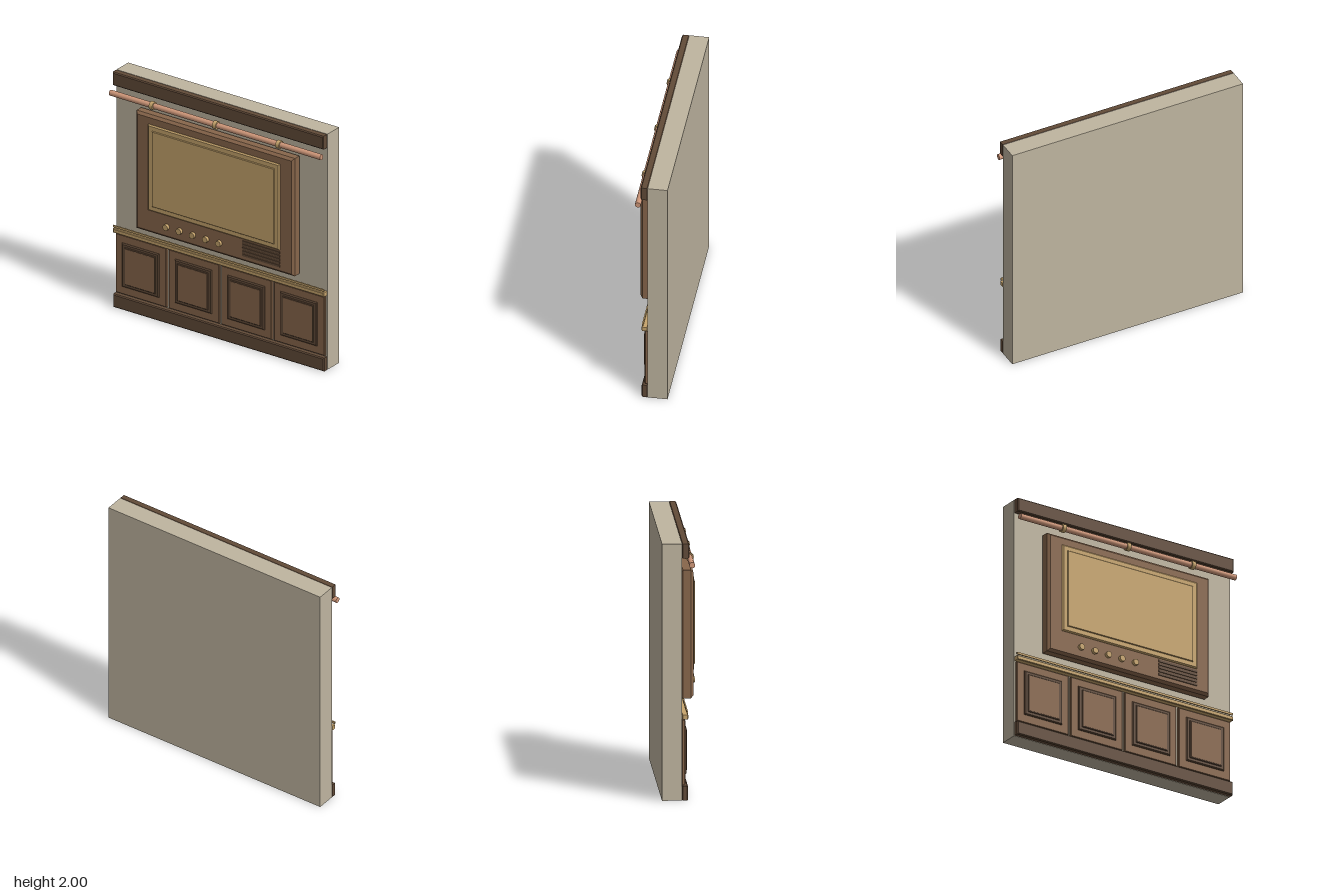
import * as THREE from 'three';

const mat = (name, color) => {
  const m = new THREE.MeshStandardMaterial({ color });
  m.name = name;
  return m;
};

export function createModel() {
  const group = new THREE.Group();
  const plaster = mat('plaster', 0xbfb5a0);
  const darkWood = mat('dark wood', 0x624b38);
  const wood = mat('wood', 0x88664b);
  const brass = mat('brass', 0xc7a56d);
  const copper = mat('copper', 0xd0987a);

  const add = (name, geometry, material) => {
    const mesh = new THREE.Mesh(geometry, material);
    mesh.name = name;
    group.add(mesh);
    return mesh;
  };

  // Box given by its limits, with all edges chamfered by b
  const block = (name, x0, x1, y0, y1, z0, z1, b, material) => {
    let geo;
    if (b > 0) {
      const s = new THREE.Shape();
      s.moveTo(x0 + b, y0 + b);
      s.lineTo(x1 - b, y0 + b);
      s.lineTo(x1 - b, y1 - b);
      s.lineTo(x0 + b, y1 - b);
      s.closePath();
      geo = new THREE.ExtrudeGeometry(s, {
        depth: z1 - z0 - 2 * b, bevelEnabled: true,
        bevelThickness: b, bevelSize: b, bevelSegments: 1,
      });
      geo.translate(0, 0, z0 + b);
    } else {
      geo = new THREE.BoxGeometry(x1 - x0, y1 - y0, z1 - z0);
      geo.translate((x0 + x1) / 2, (y0 + y1) / 2, (z0 + z1) / 2);
    }
    return add(name, geo, material);
  };

  // Wall with top fascia and skirting
  block('wall', -1, 1, 0, 2, -0.14, 0.015, 0, plaster);
  block('fascia', -1, 1, 1.887, 2, 0.012, 0.071, 0.008, darkWood);
  block('skirting', -1, 1, 0, 0.113, 0.012, 0.062, 0.008, darkWood);

  // Pipe with collars
  const rod = (name, r, length, x, material) => {
    const geo = new THREE.CylinderGeometry(r, r, length, 12).rotateZ(Math.PI / 2);
    add(name, geo, material).position.set(x, 1.833, 0.092);
  };
  rod('pipe', 0.023, 2, 0, copper);
  for (const x of [-0.6, 0, 0.6]) rod('pipeCollar', 0.033, 0.033, x, brass);

  // Television cabinet and screen
  block('cabinet', -0.75, 0.75, 0.755, 1.755, 0.015, 0.115, 0.02, wood);
  block('screenSurround', -0.625, 0.625, 0.95, 1.68, 0.1, 0.127, 0.01, brass);
  block('screen', -0.58, 0.58, 0.995, 1.635, 0.12, 0.136, 0.004, brass);

  // Knobs
  for (let i = 0; i < 5; i++) {
    const knob = new THREE.CylinderGeometry(0.025, 0.025, 0.03, 10).rotateX(Math.PI / 2);
    add('knob', knob, brass).position.set(-0.45 + i * 0.125, 0.853, 0.124);
  }

  // Speaker slats
  for (let i = 0; i < 5; i++) {
    const y = 0.815 + i * 0.028;
    block('speakerSlat', 0.27, 0.625, y - 0.009, y + 0.009, 0.11, 0.123, 0, darkWood);
  }

  // Dado ledge and its trim strip
  block('ledge', -1, 1, 0.633, 0.668, 0.015, 0.063, 0.005, brass);
  block('ledgeTrim', -1, 1, 0.678, 0.695, 0.05, 0.06, 0, brass);

  // Wainscot panels with framed centres
  for (let i = 0; i < 4; i++) {
    const x = -0.75 + i * 0.5;
    const panel = (name, w, y0, y1, z0, z1, b, material) =>
      block(name, x - w, x + w, y0, y1, z0, z1, b, material);
    panel('wainscotPanel', 0.24, 0.122, 0.625, 0.012, 0.04, 0.006, wood);
    panel('panelFrame', 0.175, 0.19, 0.56, 0.03, 0.052, 0.008, darkWood);
    panel('panelMoulding', 0.147, 0.217, 0.533, 0.04, 0.058, 0.005, darkWood);
    panel('panelCentre', 0.137, 0.227, 0.523, 0.052, 0.06, 0, wood);
  }

  return group;
}
